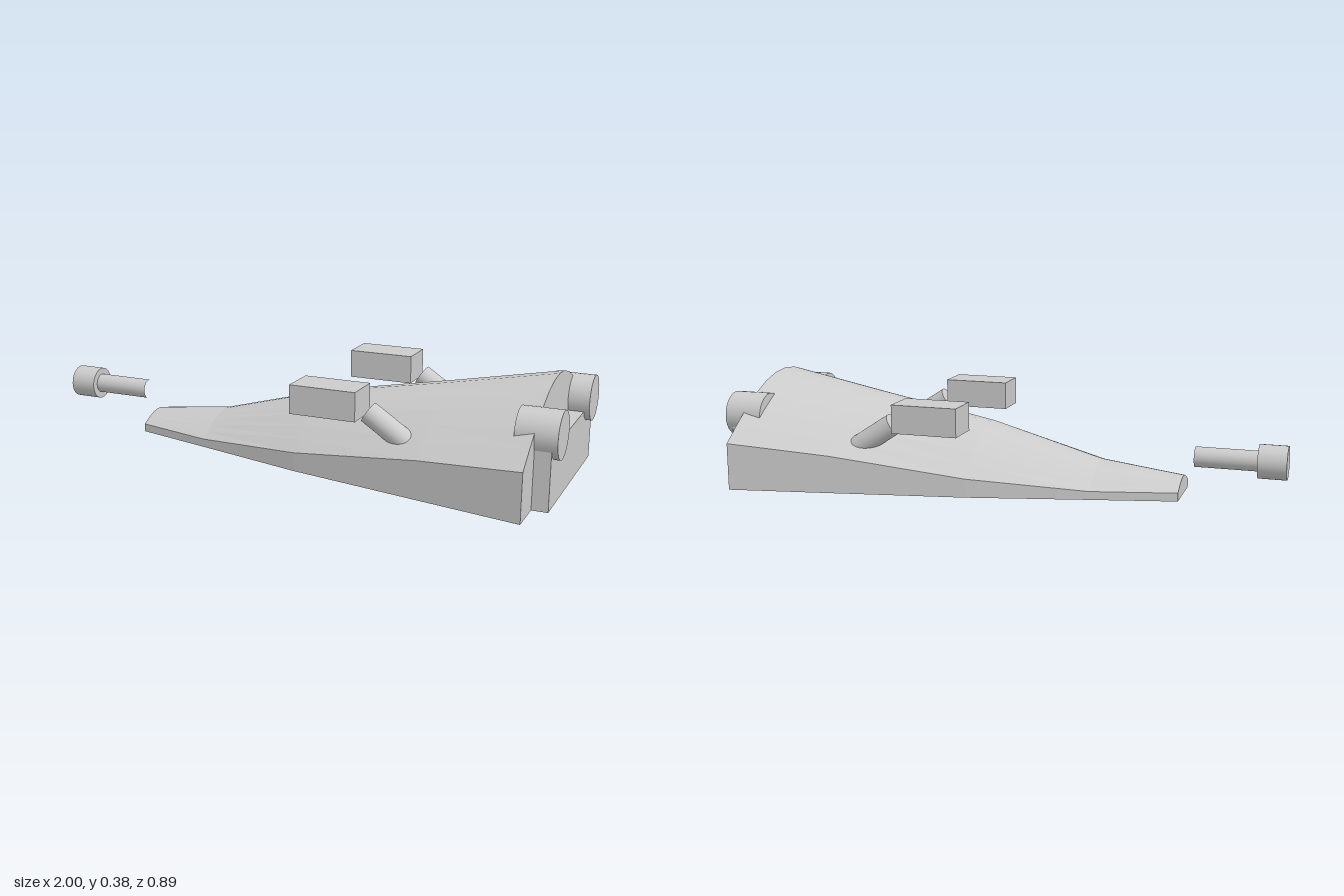
import * as THREE from 'three';

const grey = new THREE.MeshStandardMaterial({ color: 0xcccccc });
const faceted = new THREE.MeshStandardMaterial({ color: 0xcccccc, flatShading: true });

function add(parent, name, geometry, position, material = grey) {
  const mesh = new THREE.Mesh(geometry, material);
  mesh.name = name;
  mesh.position.set(...position);
  parent.add(mesh);
  return mesh;
}

// Cylinder lying along x
function rod(radius, length, open = false) {
  return new THREE.CylinderGeometry(radius, radius, length, 32, 1, open).rotateZ(-Math.PI / 2);
}

// Wedge hull lofted through cross-sections: straight sides with a cosine-curved roof
function hullGeometry() {
  // x, half width, side height, ridge height
  const stations = [
    [-0.64, 0.103, 0.03, 0.067],
    [-0.34, 0.177, 0.03, 0.103],
    [0.08, 0.283, 0.067, 0.218],
    [0.56, 0.375, 0.135, 0.306],
    [0.925, 0.444, 0.17, 0.377],
  ];
  const steps = 12;
  const sections = stations.map(([x, w, side, top]) => {
    const loop = [[x, 0, -w]];
    for (let i = 0; i <= steps; i++) {
      const t = (2 * i) / steps - 1;
      loop.push([x, side + (top - side) * Math.cos((t * Math.PI) / 2), t * w]);
    }
    loop.push([x, 0, w]);
    return loop;
  });
  const positions = [];
  const tri = (a, b, c) => positions.push(...a, ...b, ...c);
  const n = sections[0].length;
  for (let s = 0; s < sections.length - 1; s++) {
    const a = sections[s], b = sections[s + 1];
    for (let j = 0; j < n; j++) {
      const k = (j + 1) % n;
      tri(a[j], a[k], b[k]);
      tri(a[j], b[k], b[j]);
    }
  }
  // End caps
  const first = sections[0], last = sections[sections.length - 1];
  for (let j = 0; j < n - 1; j++) {
    tri([first[0][0], 0, 0], first[j + 1], first[j]);
    tri([last[0][0], 0, 0], last[j], last[j + 1]);
  }
  const geometry = new THREE.BufferGeometry();
  geometry.setAttribute('position', new THREE.Float32BufferAttribute(positions, 3));
  geometry.computeVertexNormals();
  return geometry;
}

export function createModel() {
  const model = new THREE.Group();
  model.name = 'wedgeCraft';

  add(model, 'hull', hullGeometry(), [0, 0, 0], faceted);
  add(model, 'rearBlock', new THREE.BoxGeometry(0.12, 0.205, 0.618), [0.92, 0.1025, 0]);

  // Paired engines and struts carrying side pods
  for (const [side, s] of [['left', 1], ['right', -1]]) {
    add(model, side + 'Engine', rod(0.081, 0.14), [0.93, 0.24, s * 0.239]);
    add(model, side + 'Pod', new THREE.BoxGeometry(0.24, 0.102, 0.135), [0.21, 0.276, s * 0.2725]);
    const strut = add(model, side + 'Strut', rod(0.039, 0.2), [0.435, 0.19, s * 0.27]);
    strut.rotation.z = -0.58;
  }

  // Free-standing piece ahead of the nose: collar and open tube
  const nosePiece = new THREE.Group();
  nosePiece.name = 'nosePiece';
  add(nosePiece, 'noseCollar', rod(0.06, 0.1), [-0.95, 0.14, 0]);
  add(nosePiece, 'noseTube', rod(0.036, 0.22, true), [-0.79, 0.14, 0]);
  model.add(nosePiece);

  return model;
}
